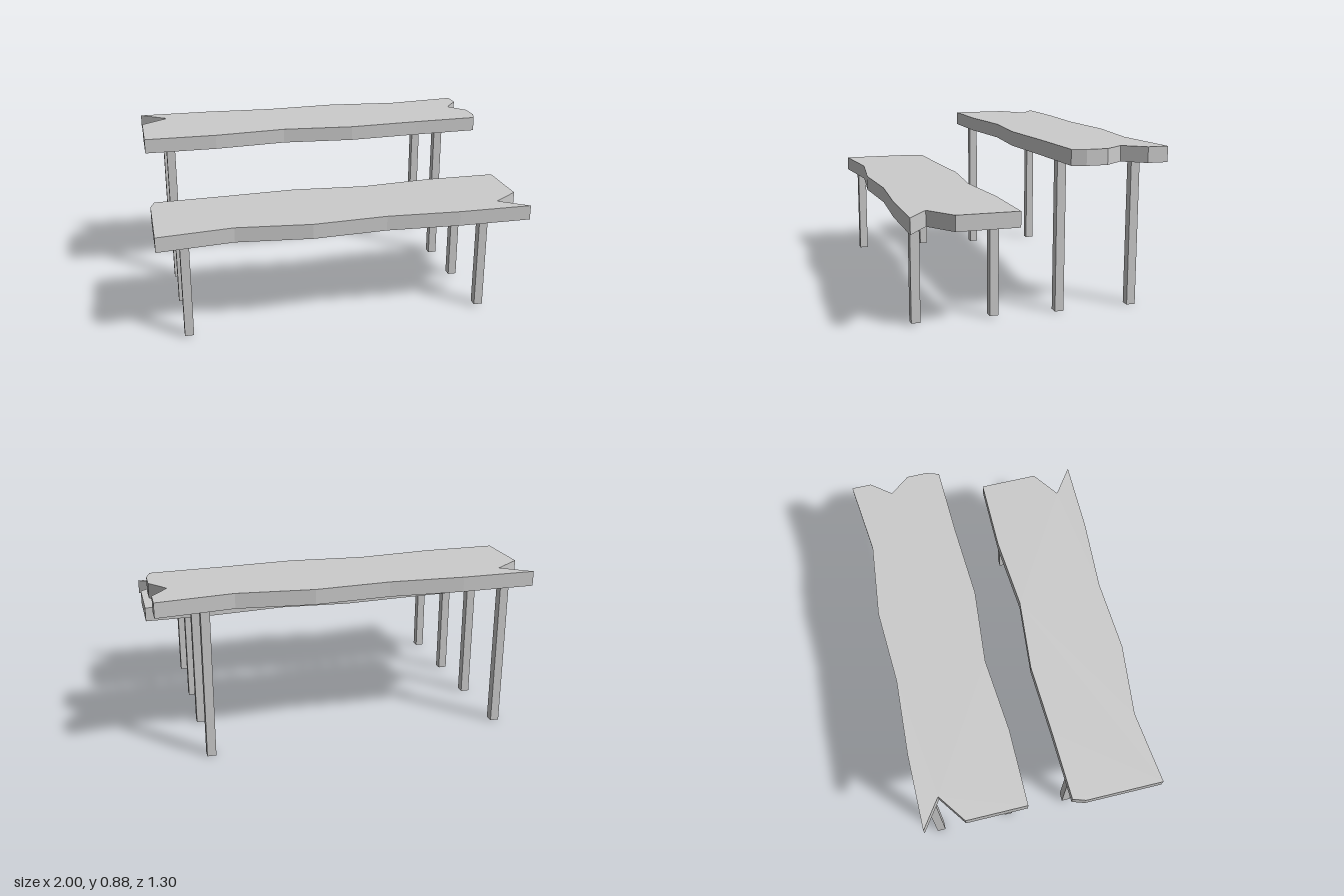
import * as THREE from 'three';

const material = new THREE.MeshStandardMaterial({ color: 0xcccccc, flatShading: true });

// Plank cut from an outline of [x, z] points, with its underside at y = bottom
function makePlank(name, outline, bottom, thickness) {
  const shape = new THREE.Shape(outline.map(([x, z]) => new THREE.Vector2(x, -z)));
  const geometry = new THREE.ExtrudeGeometry(shape, { depth: thickness, bevelEnabled: false });
  geometry.rotateX(-Math.PI / 2);
  geometry.translate(0, bottom, 0);
  const mesh = new THREE.Mesh(geometry, material);
  mesh.name = name;
  return mesh;
}

// Four square posts between the floor height and the plank's underside
function addLegs(group, name, zs, floor, top) {
  const width = 0.047;
  for (const x of [-0.855, 0.752]) {
    for (const z of zs) {
      const leg = new THREE.Mesh(new THREE.BoxGeometry(width, top - floor, width), material);
      leg.position.set(x, (top + floor) / 2, z);
      leg.name = name;
      group.add(leg);
    }
  }
}

export function createModel() {
  const model = new THREE.Group();
  model.name = 'tableAndBench';

  // Tall table with wavy long edges and split ends
  const table = new THREE.Group();
  table.name = 'table';
  const tableOutline = [
    [-1, -0.652], [-0.85, -0.545], [-1, -0.437], [-1, -0.113],
    [-0.6, -0.113], [-0.2, -0.149], [0.2, -0.113], [0.6, -0.136], [0.977, -0.149],
    [1, -0.22], [1, -0.33], [0.915, -0.437], [1, -0.545], [1, -0.652],
    [0.6, -0.609], [0.2, -0.652], [-0.2, -0.63], [-0.6, -0.652],
  ];
  table.add(makePlank('tableTop', tableOutline, 0.797, 0.08));
  addLegs(table, 'tableLeg', [-0.182, -0.591], 0, 0.797);

  // Low bench in front, split at one end only
  const bench = new THREE.Group();
  bench.name = 'bench';
  const benchOutline = [
    [-1, 0.648], [-0.6, 0.604], [-0.2, 0.648], [0.2, 0.625], [0.6, 0.648], [1, 0.648],
    [0.85, 0.54], [1, 0.433], [1, 0.11],
    [0.6, 0.11], [0.2, 0.145], [-0.2, 0.11], [-0.6, 0.131], [-0.977, 0.145], [-1, 0.215],
  ];
  bench.add(makePlank('benchSeat', benchOutline, 0.515, 0.08));
  addLegs(bench, 'benchLeg', [0.173, 0.58], 0.01, 0.515);

  model.add(table, bench);
  return model;
}
